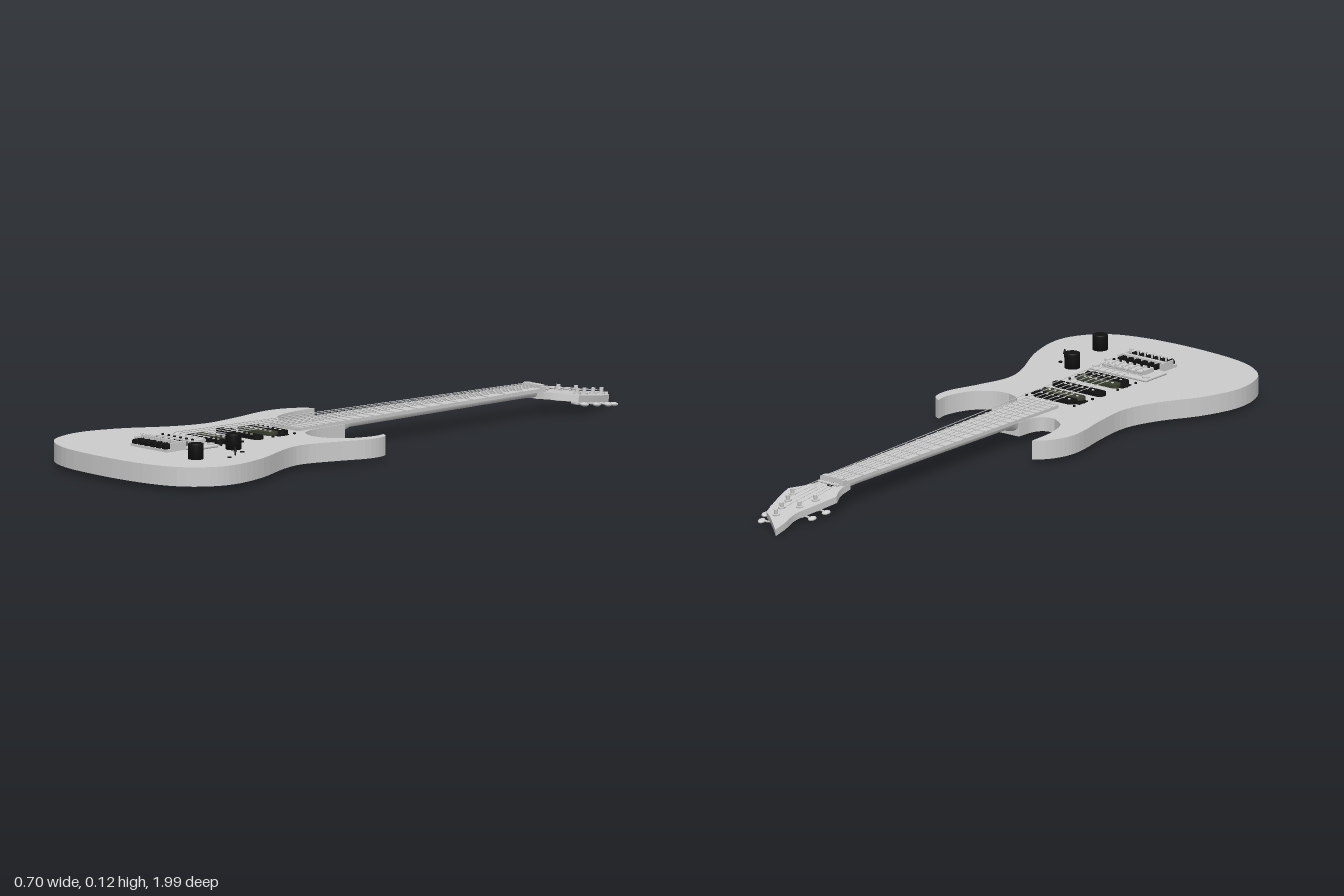
import * as THREE from 'three';
import { RoundedBoxGeometry } from 'three/addons/geometries/RoundedBoxGeometry.js';

const grey = new THREE.MeshStandardMaterial({ color: 0xcccccc });
const thin = new THREE.MeshStandardMaterial({ color: 0xcccccc, side: THREE.DoubleSide });
const black = new THREE.MeshStandardMaterial({ color: 0x111111 });
const olive = new THREE.MeshStandardMaterial({ color: 0x3a3f30 });

function add(parent, name, geo, mat, x = 0, y = 0, z = 0) {
  const m = new THREE.Mesh(geo, mat);
  m.name = name;
  m.position.set(x, y, z);
  parent.add(m);
  return m;
}
const box = (w, h, d) => new THREE.BoxGeometry(w, h, d);
const cyl = (r, h, n = 16) => new THREE.CylinderGeometry(r, r, h, n);

// Rod between two points
function rod(parent, name, a, b, r, mat, n = 6) {
  const A = new THREE.Vector3(...a), B = new THREE.Vector3(...b), d = B.clone().sub(A);
  const m = add(parent, name, cyl(r, d.length(), n), mat);
  m.position.copy(A).add(B).multiplyScalar(0.5);
  m.quaternion.setFromUnitVectors(new THREE.Vector3(0, 1, 0), d.normalize());
}

// Plan outline from smooth runs of [x, z], sharp where runs meet, raised from y0 to y1
function slab(runs, y0, y1) {
  const s = new THREE.Shape();
  s.moveTo(runs[0][0][0], -runs[0][0][1]);
  for (const run of runs) {
    const pts = run.map(([x, z]) => new THREE.Vector2(x, -z));
    if (pts.length === 2) s.lineTo(pts[1].x, pts[1].y);
    else s.splineThru(pts.slice(1));
  }
  const g = new THREE.ExtrudeGeometry(s, { depth: y1 - y0, bevelEnabled: false, curveSegments: 4 });
  return g.rotateX(-Math.PI / 2).translate(0, y0, 0);
}

// Skin over equal-length rings of [x, y, z]
function loft(rings) {
  const n = rings[0].length, idx = [];
  for (let i = 0; i < rings.length - 1; i++)
    for (let j = 0; j < n - 1; j++) {
      const a = i * n + j, b = a + n;
      idx.push(a, b, a + 1, a + 1, b, b + 1);
    }
  const g = new THREE.BufferGeometry();
  g.setAttribute('position', new THREE.Float32BufferAttribute(rings.flat(2), 3));
  g.setIndex(idx);
  g.computeVertexNormals();
  return g;
}

const NUT = -0.655, SADDLE = 0.665, BOARD_END = 0.3;
const halfWidth = z => 0.041 + 0.019 * (z - NUT) / (BOARD_END - NUT);

function addBody(g) {
  const outer = [[-0.195, 0.005], [-0.228, 0.035], [-0.252, 0.09], [-0.254, 0.16], [-0.228, 0.29], [-0.217, 0.41],
    [-0.25, 0.52], [-0.317, 0.64], [-0.35, 0.76], [-0.334, 0.86], [-0.285, 0.93], [-0.18, 0.98], [0, 0.998],
    [0.165, 0.988], [0.275, 0.95], [0.337, 0.875], [0.35, 0.79], [0.32, 0.67], [0.255, 0.53], [0.236, 0.44],
    [0.263, 0.335], [0.294, 0.24], [0.288, 0.175], [0.258, 0.15]];
  const rightHorn = [[0.258, 0.15], [0.263, 0.2], [0.24, 0.27], [0.19, 0.315], [0.14, 0.325]];
  const leftHorn = [[-0.115, 0.212], [-0.165, 0.175], [-0.19, 0.1], [-0.195, 0.005]];
  const heel = [[[0.14, 0.325], [0.09, 0.3], [0.065, 0.24], [0.06, 0.12]], [[0.06, 0.12], [-0.058, 0.12]],
    [[-0.058, 0.12], [-0.062, 0.175], [-0.08, 0.205], [-0.115, 0.212]]];
  const scoop = [[0.14, 0.325], [0.07, 0.33], [-0.03, 0.295], [-0.115, 0.212]];
  add(g, 'bodyTop', slab([outer, rightHorn, ...heel, leftHorn], 0.029, 0.071), grey);
  add(g, 'bodyBack', slab([outer, rightHorn, scoop, leftHorn], 0.015, 0.029), grey);
}

function addNeck(g) {
  // Rounded back of the neck, thickening into the heel
  const stations = [[0.2, 0.04], [0.12, 0.034], [0.09, 0.019], [-0.2, 0.018], [-0.6, 0.017], [-0.67, 0.022]];
  add(g, 'neck', loft(stations.map(([z, depth]) => Array.from({ length: 13 }, (_, i) => {
    const a = Math.PI * i / 12, w = halfWidth(z);
    return [w * Math.cos(a), 0.071 - depth * Math.pow(Math.sin(a), 0.6), z];
  }))), thin);
  const a = halfWidth(NUT), b = halfWidth(BOARD_END);
  add(g, 'fretboard', slab([[[-a, NUT], [-b, BOARD_END]], [[-b, BOARD_END], [b, BOARD_END]],
    [[b, BOARD_END], [a, NUT]]], 0.07, 0.08), grey);
  for (let i = 1; i <= 22; i++) {
    const z = NUT + (SADDLE - NUT) * (1 - Math.pow(2, -i / 12));
    add(g, 'fret', box(halfWidth(z) * 2, 0.003, 0.004), grey, 0, 0.081, z);
  }
  add(g, 'nut', box(0.084, 0.016, 0.018), grey, 0, 0.077, NUT - 0.008);
  for (const x of [-0.025, 0, 0.025]) add(g, 'nutClamp', box(0.021, 0.005, 0.017), grey, x, 0.087, NUT - 0.008);
}

// Post and button positions in plan, in string order
const tuners = [[-0.028, -0.783, -0.073, -0.795], [-0.015, -0.84, -0.063, -0.847], [0.012, -0.915, 0.06, -0.925],
  [0.028, -0.868, 0.078, -0.885], [0.043, -0.82, 0.09, -0.83], [0.06, -0.777, 0.103, -0.77]];

function addHeadstock(g) {
  const head = new THREE.Group(), Z = -0.64;
  head.name = 'headstock';
  head.position.set(0, 0.072, Z);
  head.rotation.x = -0.145;
  g.add(head);
  const right = [[0.042, -0.64], [0.045, -0.67], [0.06, -0.703], [0.098, -0.75]];
  const edge = [[0.098, -0.75], [0.078, -0.83], [0.052, -0.91]];
  const tip = [[0.052, -0.91], [0.01, -0.943], [-0.05, -1.0]];
  const left = [[-0.05, -1.0], [-0.046, -0.95], [-0.034, -0.885], [-0.05, -0.81], [-0.066, -0.735]];
  const leftNeck = [[-0.066, -0.735], [-0.046, -0.69], [-0.042, -0.64]];
  const runs = [right, edge, tip, left, leftNeck].map(r => r.map(([x, z]) => [x, z - Z]));
  add(head, 'headPlate', slab(runs, -0.02, 0), grey);
  add(head, 'stringBar', cyl(0.004, 0.075, 10).rotateZ(Math.PI / 2), grey, 0, 0.009, -0.045);
  add(head, 'barScrew', cyl(0.012, 0.006), black, 0, 0.003, -0.035);
  tuners.forEach(([px, pz, bx, bz], i) => {
    const z = pz - Z, ang = Math.atan2(-(bz - pz), bx - px);
    add(head, 'tunerWasher', cyl(0.011, 0.004), grey, px, 0.002, z);
    add(head, 'tunerPost', cyl(0.006, 0.018, 12), grey, px, 0.009, z);
    add(head, 'tunerHousing', new RoundedBoxGeometry(0.03, 0.011, 0.02, 2, 0.004), grey, px, -0.0245, z).rotation.y = ang;
    rod(head, 'tunerShaft', [px, -0.024, z], [bx, -0.024, bz - Z], 0.003, grey, 8);
    const btn = add(head, 'tunerButton', new THREE.SphereGeometry(1, 16, 10), grey, bx, -0.024, bz - Z);
    btn.scale.set(0.011, 0.006, 0.014);
    btn.rotation.y = ang;
    // String run from the nut to its post
    rod(head, 'headString', [(i - 2.5) * 0.0128, 0.012, NUT - 0.02 - Z], [px, 0.01, z], 0.001, grey);
  });
}

// One pickup coil with rounded ends and pole pieces
function addCoil(g, z, w, d, mat) {
  const s = new THREE.Shape(), r = d / 2, c = w / 2 - r;
  s.absarc(c, 0, r, -Math.PI / 2, Math.PI / 2);
  s.absarc(-c, 0, r, Math.PI / 2, Math.PI * 1.5);
  const geo = new THREE.ExtrudeGeometry(s, { depth: 0.011, bevelEnabled: false, curveSegments: 10 });
  add(g, 'pickupCoil', geo.rotateX(-Math.PI / 2), mat, 0, 0.07, z);
  for (let i = 0; i < 6; i++) add(g, 'polePiece', cyl(0.004, 0.003, 10), grey, (i - 2.5) * 0.02, 0.0815, z);
}

function addPickups(g) {
  addCoil(g, 0.362, 0.15, 0.035, black);
  addCoil(g, 0.4, 0.15, 0.035, olive);
  addCoil(g, 0.472, 0.185, 0.037, black);
  addCoil(g, 0.562, 0.15, 0.035, olive);
  addCoil(g, 0.6, 0.15, 0.035, black);
  for (const z of [0.381, 0.581])
    for (const sx of [-1, 1]) {
      add(g, 'pickupTab', box(0.02, 0.004, 0.04), black, sx * 0.078, 0.072, z);
      for (const dz of [-0.042, 0, 0.042]) add(g, 'pickupScrew', cyl(0.004, 0.005, 10), black, sx * 0.087, 0.073, z + dz);
    }
}

function addBridge(g) {
  add(g, 'bridgePlate', new RoundedBoxGeometry(0.21, 0.009, 0.1, 2, 0.004), grey, 0, 0.0755, 0.697);
  add(g, 'bridgeTail', box(0.155, 0.008, 0.078), grey, -0.003, 0.076, 0.782);
  add(g, 'tailBar', box(0.152, 0.014, 0.012), grey, -0.003, 0.091, 0.768);
  for (const sx of [-1, 1]) {
    add(g, 'pivotPost', cyl(0.011, 0.012), grey, sx * 0.09, 0.078, 0.665);
    add(g, 'tailCheek', box(0.004, 0.02, 0.06), grey, sx * 0.076 - 0.003, 0.087, 0.775);
  }
  add(g, 'armSocket', cyl(0.01, 0.022), grey, 0.087, 0.081, 0.715);
  for (let i = 0; i < 6; i++) {
    const x = (i - 2.5) * 0.0252 - 0.002;
    add(g, 'saddle', box(0.019, 0.014, 0.055), grey, x, 0.086, 0.695);
    add(g, 'saddleCrest', cyl(0.007, 0.018, 12).rotateZ(Math.PI / 2), grey, x, 0.09, SADDLE + 0.008);
    add(g, 'saddleScrew', cyl(0.004, 0.006, 10), black, x, 0.094, 0.71);
    add(g, 'saddleBlock', box(0.013, 0.012, 0.03), black, x, 0.087, 0.75);
    add(g, 'stringLock', cyl(0.009, 0.035, 16).rotateX(Math.PI / 2), black, x, 0.085, 0.803);
    add(g, 'fineTunerStem', cyl(0.0028, 0.026, 8), grey, x, 0.093, 0.79);
    add(g, 'fineTunerCap', cyl(0.0065, 0.003, 12), grey, x, 0.106, 0.79);
  }
}

function addControls(g) {
  const profile = [[0, 0], [0.0225, 0], [0.0225, 0.042], [0.0215, 0.0445], [0.019, 0.0455], [0, 0.0455]]
    .map(p => new THREE.Vector2(...p));
  for (const [x, z] of [[0.153, 0.635], [0.2, 0.823]])
    add(g, 'knob', new THREE.LatheGeometry(profile, 32), black, x, 0.071, z);
  add(g, 'switchStem', cyl(0.0025, 0.014, 10), black, 0.232, 0.077, 0.7);
  add(g, 'switchTip', new THREE.CylinderGeometry(0.002, 0.005, 0.013, 12), black, 0.232, 0.088, 0.7);
  for (const [x, z] of [[0.21, 0.653], [0.253, 0.742]]) add(g, 'switchScrew', cyl(0.006, 0.004, 12), black, x, 0.072, z);
}

export function createModel() {
  const g = new THREE.Group();
  g.name = 'electricGuitar';
  addBody(g);
  addNeck(g);
  addHeadstock(g);
  addPickups(g);
  addBridge(g);
  addControls(g);
  // Six strings from nut to saddles
  for (let i = 0; i < 6; i++)
    rod(g, 'string', [(i - 2.5) * 0.0128, 0.0855, NUT - 0.02], [(i - 2.5) * 0.0236, 0.097, SADDLE + 0.008], 0.0012, grey);
  return g;
}
